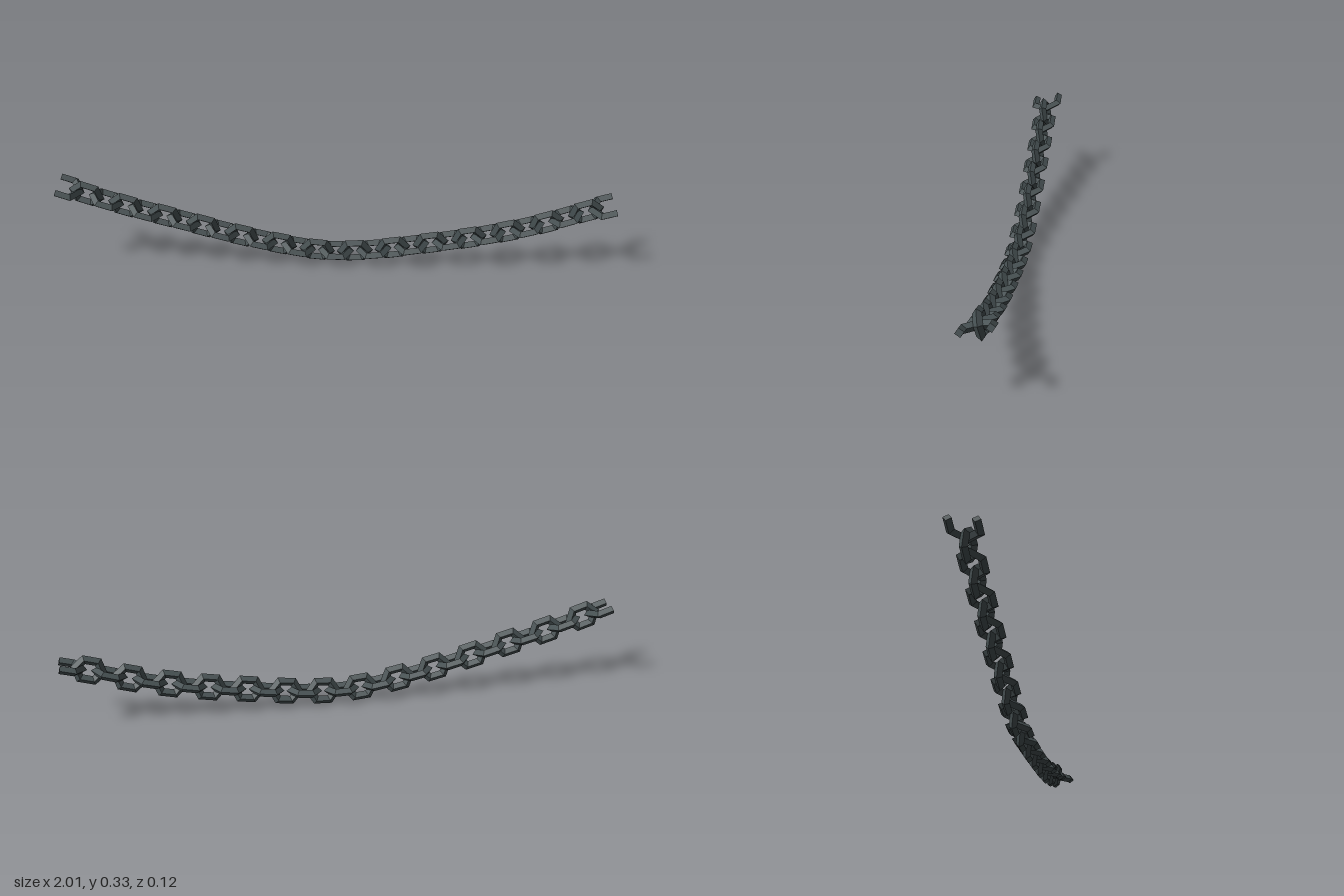
import * as THREE from 'three';

const WIRE = 0.015, SIDES = 4;

// Mitred diamond-section wire along a flat path of [x, y] points, closed or open
function wire(path, closed) {
  const pts = path.map(p => new THREE.Vector2(...p));
  const n = pts.length, pos = [], idx = [];
  const dirTo = (a, b) => b.clone().sub(a).normalize();
  pts.forEach((p, i) => {
    let before = closed || i > 0 ? dirTo(pts[(i + n - 1) % n], p) : null;
    const after = closed || i < n - 1 ? dirTo(p, pts[(i + 1) % n]) : before;
    before = before || after;
    const t = before.clone().add(after).normalize();
    const stretch = 1 / t.dot(after);
    for (let j = 0; j < SIDES; j++) {
      const angle = (j / SIDES) * Math.PI * 2;
      const u = Math.cos(angle) * WIRE * stretch;
      pos.push(p.x + t.y * u, p.y - t.x * u, Math.sin(angle) * WIRE);
    }
  });
  for (let i = 0; i < (closed ? n : n - 1); i++) {
    for (let j = 0; j < SIDES; j++) {
      const k = (j + 1) % SIDES, m = (i + 1) % n;
      const a = i * SIDES + j, b = i * SIDES + k, c = m * SIDES + k, d = m * SIDES + j;
      idx.push(a, c, b, a, d, c);
    }
  }
  // End caps
  if (!closed) {
    const e = (n - 1) * SIDES;
    for (let j = 1; j < SIDES - 1; j++) idx.push(0, j, j + 1, e, e + j + 1, e + j);
  }
  const g = new THREE.BufferGeometry();
  g.setAttribute('position', new THREE.Float32BufferAttribute(pos, 3));
  g.setIndex(idx);
  const flat = g.toNonIndexed();
  flat.computeVertexNormals();
  return flat;
}

export function createModel() {
  const model = new THREE.Group();
  model.name = 'hangingChain';
  const iron = new THREE.MeshStandardMaterial({ color: 0x465052 });
  iron.name = 'darkIron';

  // Heights of the sagging chain, at even steps of x
  const heights = [0.297, 0.273, 0.249, 0.227, 0.206, 0.187, 0.167, 0.147, 0.127, 0.109,
    0.092, 0.077, 0.063, 0.053, 0.049, 0.05, 0.056, 0.064, 0.075, 0.086, 0.097, 0.109,
    0.123, 0.138, 0.156, 0.176, 0.2, 0.223, 0.243];
  const STEP = 0.069, ROLL = 0.22, last = heights.length - 1;

  // Whole six-cornered link, and the half link with two prongs at each end
  const tip = 0.048, corner = 0.025, half = 0.0345;
  const linkGeo = wire([[tip, 0], [corner, half], [-corner, half],
    [-tip, 0], [-corner, -half], [corner, -half]], true);
  const openGeo = wire([[-0.032, 0.047], [0.02, 0.047], [tip, 0],
    [0.02, -0.047], [-0.032, -0.047]], false);

  heights.forEach((y, i) => {
    const end = i === 0 || i === last;
    const lo = Math.max(i - 1, 0), hi = Math.min(i + 1, last);
    const link = new THREE.Mesh(end ? openGeo : linkGeo, iron);
    link.name = end ? 'openEndLink' : i % 2 ? 'uprightLink' : 'flatLink';
    // Every other link is turned a quarter, the whole chain is slightly rolled,
    // and the last open link faces the other way
    link.rotation.x = ROLL + (i % 2 ? 0 : Math.PI / 2);
    link.rotation.z = i === last ? Math.PI : 0;
    const holder = new THREE.Group();
    holder.name = 'linkHolder';
    holder.position.set((i - last / 2) * STEP, y, 0);
    holder.rotation.z = Math.atan2(heights[hi] - heights[lo], (hi - lo) * STEP);
    holder.add(link);
    model.add(holder);
  });
  return model;
}
